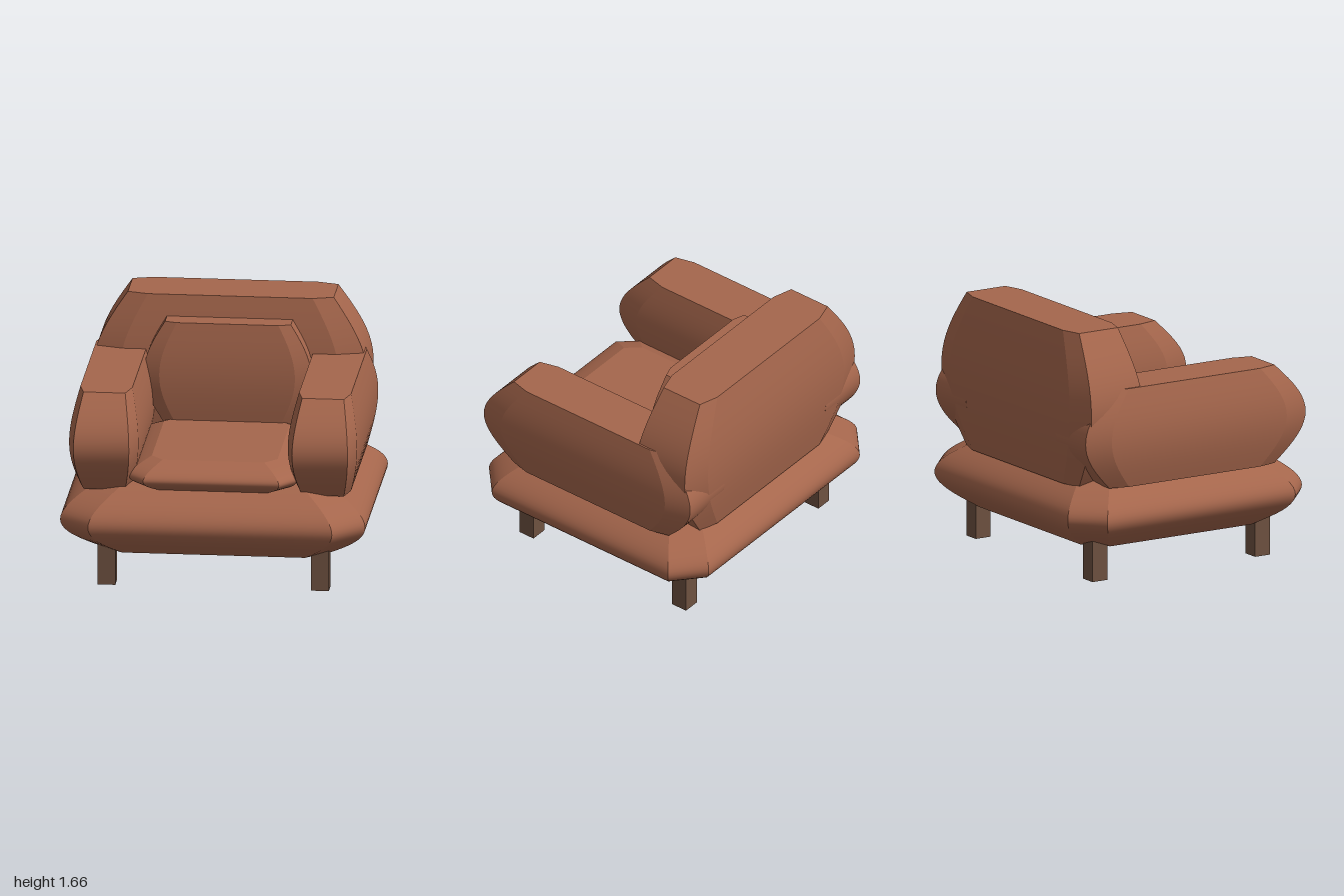
import * as THREE from 'three';

const ROWS = 20;

// Bulging cushion: a chamfered-rectangle outline scaled along its height.
// size = half extents, cx / cz = where the corner cuts start.
function cushionGeometry([hx, hy, hz], cx, cz) {
  const outline = [
    [hx, cz], [hx, -cz], [cx, -hz], [-cx, -hz],
    [-hx, -cz], [-hx, cz], [-cx, hz], [cx, hz],
  ];
  const n = outline.length;
  const swell = (t) => 0.75 + 0.25 * Math.cos((t * Math.PI) / 2);
  const pos = [];
  const index = [];
  const add = ([x, z], t) => {
    const s = swell(t);
    pos.push(x * s, t * hy, z * s);
  };

  // side strips, each with its own vertices so the vertical edges stay sharp
  for (let i = 0; i < n; i++) {
    const start = pos.length / 3;
    for (let r = 0; r <= ROWS; r++) {
      const t = (r / ROWS) * 2 - 1;
      add(outline[i], t);
      add(outline[(i + 1) % n], t);
    }
    for (let r = 0; r < ROWS; r++) {
      const a = start + r * 2;
      index.push(a, a + 1, a + 3, a, a + 3, a + 2);
    }
  }

  // flat top and bottom
  for (const t of [1, -1]) {
    const start = pos.length / 3;
    outline.forEach((p) => add(p, t));
    for (let i = 1; i < n - 1; i++) {
      if (t > 0) index.push(start, start + i, start + i + 1);
      else index.push(start, start + i + 1, start + i);
    }
  }

  const g = new THREE.BufferGeometry();
  g.setAttribute('position', new THREE.Float32BufferAttribute(pos, 3));
  g.setIndex(index);
  g.computeVertexNormals();
  return g;
}

export function createModel() {
  const group = new THREE.Group();
  group.name = 'armchair';

  const leather = new THREE.MeshStandardMaterial({ color: 0xa5664c });
  leather.name = 'brown leather';
  const wood = new THREE.MeshStandardMaterial({ color: 0x6e5140 });
  wood.name = 'dark wood';

  const place = (name, geometry, material, x, y, z) => {
    const mesh = new THREE.Mesh(geometry, material);
    mesh.name = name;
    mesh.position.set(x, y, z);
    group.add(mesh);
  };

  // upholstery
  place('base', cushionGeometry([1, 0.23, 0.91], 0.8, 0.73), leather, 0, 0.45, 0);
  place('backrest', cushionGeometry([0.9, 0.515, 0.253], 0.72, 0.2), leather, 0, 1.145, -0.59);
  place('seatCushion', cushionGeometry([0.55, 0.105, 0.64], 0.445, 0.52), leather, 0, 0.755, 0.2);
  place('backCushion', cushionGeometry([0.55, 0.35, 0.135], 0.445, 0.1), leather, 0, 1.17, -0.33);

  // armrests
  const arm = cushionGeometry([0.227, 0.33, 0.855], 0.182, 0.68);
  place('leftArm', arm, leather, 0.717, 0.97, 0.02);
  place('rightArm', arm, leather, -0.717, 0.97, 0.02);

  // legs
  const leg = new THREE.BoxGeometry(0.115, 0.3, 0.115);
  for (const [side, x] of [['Left', 0.7], ['Right', -0.7]]) {
    place('front' + side + 'Leg', leg, wood, x, 0.15, 0.632);
    place('back' + side + 'Leg', leg, wood, x, 0.15, -0.632);
  }

  return group;
}
